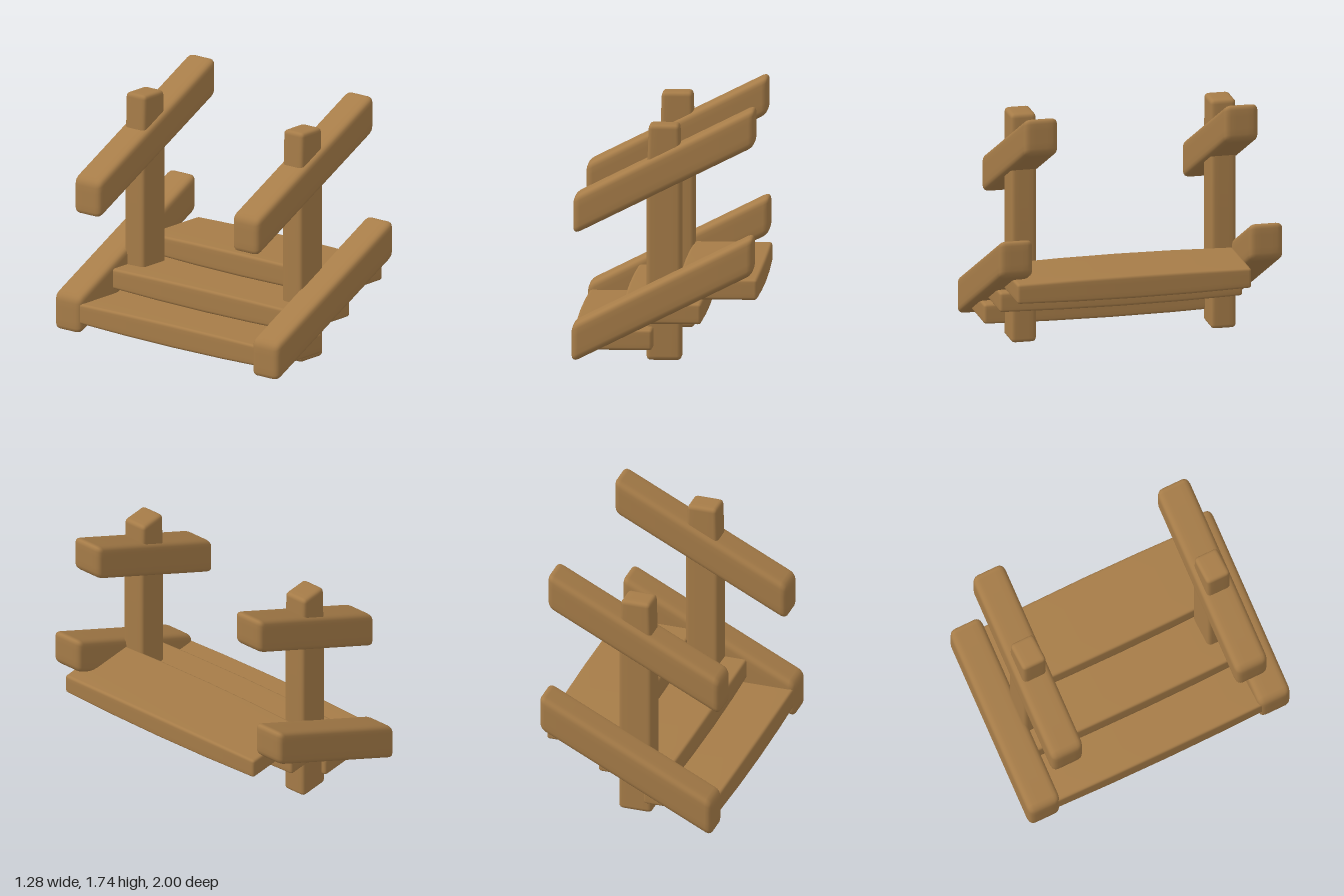
import * as THREE from 'three';
import { mergeVertices } from 'three/addons/utils/BufferGeometryUtils.js';

const wood = new THREE.MeshStandardMaterial({ color: 0xa67c48 });

// Softly rounded beam: a gridded box with rounded edges, then reshaped by a rule
function beam(name, [w, h, d], r, reshape) {
  let geo = new THREE.BoxGeometry(2, 2, 2, 8, 8, 8);
  const half = [w / 2, h / 2, d / 2];
  const pos = geo.attributes.position;
  const v = new THREE.Vector3();
  const inner = new THREE.Vector3();
  // Outer quarter of the grid goes to the rounding, the rest to the flat part
  const spread = (t, s) => Math.abs(t) <= 0.5
    ? (t / 0.5) * (s - r)
    : Math.sign(t) * (s - r + (Math.abs(t) - 0.5) * 2 * r);
  for (let i = 0; i < pos.count; i++) {
    v.fromBufferAttribute(pos, i);
    v.set(spread(v.x, half[0]), spread(v.y, half[1]), spread(v.z, half[2]));
    inner.set(
      THREE.MathUtils.clamp(v.x, r - half[0], half[0] - r),
      THREE.MathUtils.clamp(v.y, r - half[1], half[1] - r),
      THREE.MathUtils.clamp(v.z, r - half[2], half[2] - r));
    v.sub(inner).setLength(r).add(inner);
    reshape(v);
    pos.setXYZ(i, v.x, v.y, v.z);
  }
  geo.deleteAttribute('normal');
  geo.deleteAttribute('uv');
  geo = mergeVertices(geo, 1e-4);
  geo.computeVertexNormals();
  const mesh = new THREE.Mesh(geo, wood);
  mesh.name = name;
  return mesh;
}

export function createModel() {
  const group = new THREE.Group();
  group.name = 'stairs';

  for (const [side, s] of [['front', 1], ['back', -1]]) {
    // Sloping rails with upright ends
    const slope = (v) => { v.y += v.x * 0.5; };
    const stringer = beam(side + 'Stringer', [1.245, 0.265, 0.24], 0.045, slope);
    stringer.position.set(-0.018, 0.452, s * 0.88);
    const handrail = beam(side + 'Handrail', [1.245, 0.265, 0.24], 0.045, slope);
    handrail.position.set(-0.018, 1.31, s * 0.705);

    // Post, narrowing towards its top
    const post = beam(side + 'Post', [0.24, 1.63, 0.178], 0.03, (v) => {
      v.x *= 1 - 0.28 * Math.max(0, v.y - 0.38);
    });
    post.position.set(-0.02, 0.815, s * 0.703);
    group.add(stringer, handrail, post);
  }

  // Planks, a little fuller in the middle than at the ends
  const steps = [
    ['bottomStep', -0.36, 0.162, 1.77],
    ['middleStep', -0.026, 0.34, 1.71],
    ['topStep', 0.357, 0.508, 1.65],
  ];
  for (const [name, x, y, length] of steps) {
    const step = beam(name, [0.557, 0.165, length], 0.022, (v) => {
      const k = (2 * v.z / length) ** 2;
      v.y *= 1 - 0.15 * k;
      v.x *= 1 - 0.04 * k;
    });
    step.position.set(x, y, 0.054);
    group.add(step);
  }
  return group;
}
